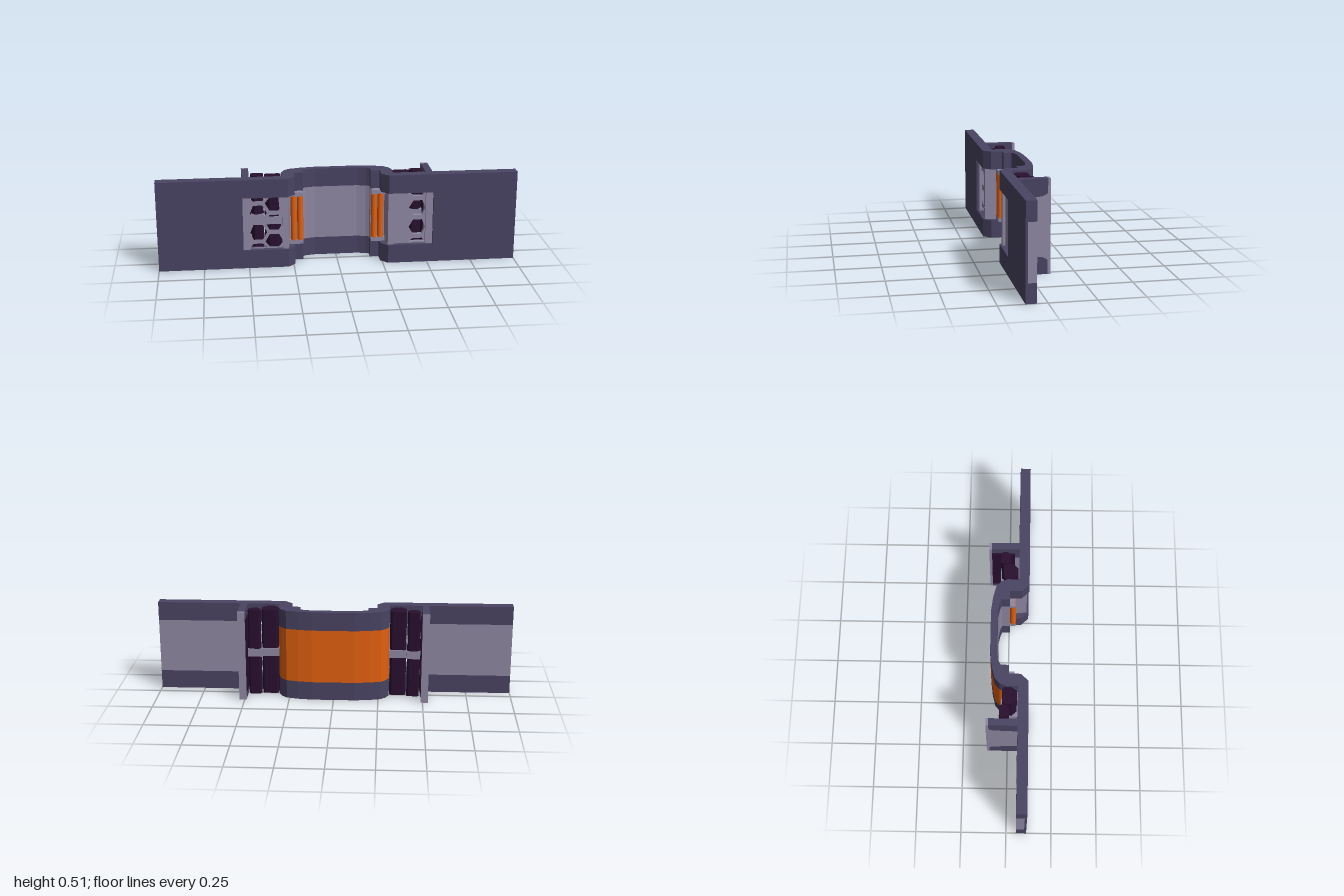
import * as THREE from 'three';

const material = (name, color) => new THREE.MeshStandardMaterial({ name, color });

export function createModel() {
  const model = new THREE.Group();
  model.name = 'hingedPanel';
  const dark = material('darkSlate', 0x4a4463);
  const light = material('lightGrey', 0x8f88a3);
  const orange = material('orange', 0xe2600f);
  const purple = material('deepPurple', 0x28102f);

  const H = 0.515, LOW = 0.105, HIGH = 0.41;

  const add = (name, geometry, mat) => {
    const mesh = new THREE.Mesh(geometry, mat);
    mesh.name = name;
    model.add(mesh);
    return mesh;
  };
  const box = (name, mat, x0, x1, y0, y1, z0, z1) =>
    add(name, new THREE.BoxGeometry(x1 - x0, y1 - y0, z1 - z0), mat)
      .position.set((x0 + x1) / 2, (y0 + y1) / 2, (z0 + z1) / 2);
  // box on one side; s = +1 or -1
  const sideBox = (name, mat, s, x0, x1, y0, y1, z0, z1) =>
    box(name, mat, Math.min(s * x0, s * x1), Math.max(s * x0, s * x1), y0, y1, z0, z1);
  const toShape = (pts) => new THREE.Shape(pts.map(([a, b]) => new THREE.Vector2(a, b)));
  // plan outline (x, z) raised from y0 to y1
  const raise = (name, mat, pts, y0, y1) => {
    const g = new THREE.ExtrudeGeometry(toShape(pts.map(([x, z]) => [x, -z])), {
      depth: y1 - y0, bevelEnabled: false,
    });
    g.rotateX(-Math.PI / 2).translate(0, y0, 0);
    return add(name, g, mat);
  };
  // side outline (z, y) pushed along x
  const push = (name, mat, pts, x0, x1) => {
    const g = new THREE.ExtrudeGeometry(toShape(pts.map(([z, y]) => [-z, y])), {
      depth: x1 - x0, bevelEnabled: false,
    });
    g.rotateY(Math.PI / 2).translate(x0, 0, 0);
    return add(name, g, mat);
  };
  // half outline mirrored over x = 0
  const flip = (pts) => pts.map(([x, z]) => [-x, z]);
  const mirrorLoop = (back, front) =>
    [...back, ...front, ...flip(front).reverse(), ...flip(back).reverse()];

  // Upper and lower rails with the arched centre
  const archBack = [[0.12, -0.098], [0.2, -0.088], [0.265, -0.072], [0.295, -0.045], [0.31, -0.01]];
  const archFront = [[0.19, -0.04], [0.17, -0.05], [0.12, -0.06]];
  const rail = mirrorLoop(
    [...archBack, [0.31, 0.055], [1, 0.055]],
    [[1, 0.112], [0.28, 0.112], [0.24, 0.07], [0.24, 0.005], [0.19, 0.005], ...archFront]);
  raise('lowerRail', dark, rail, 0, LOW);
  raise('upperRail', dark, rail, HIGH, H);

  // Light lining of the arch and the orange skin behind it
  const skinInner = archBack.map(([x, z]) => [x - 0.006, z + 0.008]);
  raise('archLining', light, mirrorLoop(
    [...skinInner, [0.31, 0.0], [0.31, 0.1]],
    [[0.278, 0.1], [0.268, 0.01], [0.19, 0.005], ...archFront]), LOW, HIGH);
  raise('archSkin', orange, mirrorLoop(archBack, [...skinInner].reverse()), LOW, HIGH);

  // Flat-sided columns as plan outlines
  const columns = [
    [[0.325, -0.03], [0.395, -0.03], [0.405, -0.018], [0.405, 0.022], [0.38, 0.05],
      [0.335, 0.05], [0.313, 0.022], [0.313, -0.018]],
    [[0.42, -0.045], [0.472, -0.045], [0.48, -0.036], [0.48, -0.012], [0.462, 0.008],
      [0.428, 0.008], [0.41, -0.012], [0.41, -0.036]],
  ];

  // Honeycomb grille, drawn for the +x side
  const grille = (s) => {
    const shape = toShape([[s * 0.308, LOW], [s * 0.495, LOW], [s * 0.495, HIGH], [s * 0.308, HIGH]]);
    const cells = [];
    [0.145, 0.2575, 0.37].forEach((y) => cells.push([0.357, y]));
    [0.09, 0.201, 0.314, 0.427].forEach((y) => cells.push([0.447, y]));
    for (const [cx, cy] of cells) {
      const hole = new THREE.Path();
      for (let i = 0; i < 6; i++) {
        const a = (i * Math.PI) / 3;
        const x = s * Math.min(cx + 0.05 * Math.cos(a), 0.49);
        const y = Math.min(HIGH - 0.008, Math.max(LOW + 0.008, cy + 0.05 * Math.sin(a)));
        if (i) hole.lineTo(x, y); else hole.moveTo(x, y);
      }
      hole.closePath();
      shape.holes.push(hole);
    }
    const g = new THREE.ExtrudeGeometry(shape, { depth: 0.025, bevelEnabled: false });
    add('honeycombGrille', g.translate(0, 0, 0.06), light);
  };

  for (const s of [1, -1]) {
    // Outer panel: dark face over a light core
    sideBox('panelFace', dark, s, 0.53, 1, LOW, HIGH, 0.1, 0.112);
    sideBox('panelCore', light, s, 0.53, 1, LOW, HIGH, 0.055, 0.1);

    // Upright rib: light centre and tip, dark ends
    const x0 = s > 0 ? 0.49 : -0.53, x1 = x0 + 0.04;
    const ribEnd = [[0.055, H], [0.055, HIGH], [0, HIGH], [-0.03, 0.416], [-0.07, 0.421],
      [-0.09, 0.43], [-0.1, 0.437], [-0.1, H]];
    const ribCore = [[0.1, LOW], [0.1, HIGH], ...ribEnd.slice(2, 7), [-0.1, H], [-0.115, H],
      [-0.115, 0], [-0.1, 0], ...ribEnd.slice(2, 7).reverse().map(([z, y]) => [z, H - y])];
    push('ribCore', light, ribCore, x0, x1);
    push('ribTop', dark, ribEnd, x0, x1);
    push('ribBottom', dark, ribEnd.map(([z, y]) => [z, H - y]), x0, x1);
    sideBox('ribPad', purple, s, 0.483, 0.49, 0.05, 0.465, -0.1, 0.03);

    // Columns with their clips
    columns.forEach((c) => raise('column', purple, s > 0 ? c : flip(c), 0.01, H - 0.01));
    sideBox('innerClip', light, s, 0.308, 0.41, 0.235, 0.28, -0.036, 0.054);
    sideBox('outerClip', light, s, 0.405, 0.49, 0.235, 0.28, -0.051, 0.012);

    grille(s);

    // Paired orange rollers with end caps
    for (const x of [0.208, 0.244]) {
      add('roller', new THREE.CylinderGeometry(0.017, 0.017, 0.26, 16), orange)
        .position.set(s * x, H / 2, 0.022);
    }
    for (const y of [LOW, HIGH - 0.025]) {
      sideBox('rollerCap', light, s, 0.192, 0.27, y, y + 0.025, 0.004, 0.036);
    }
  }
  return model;
}
